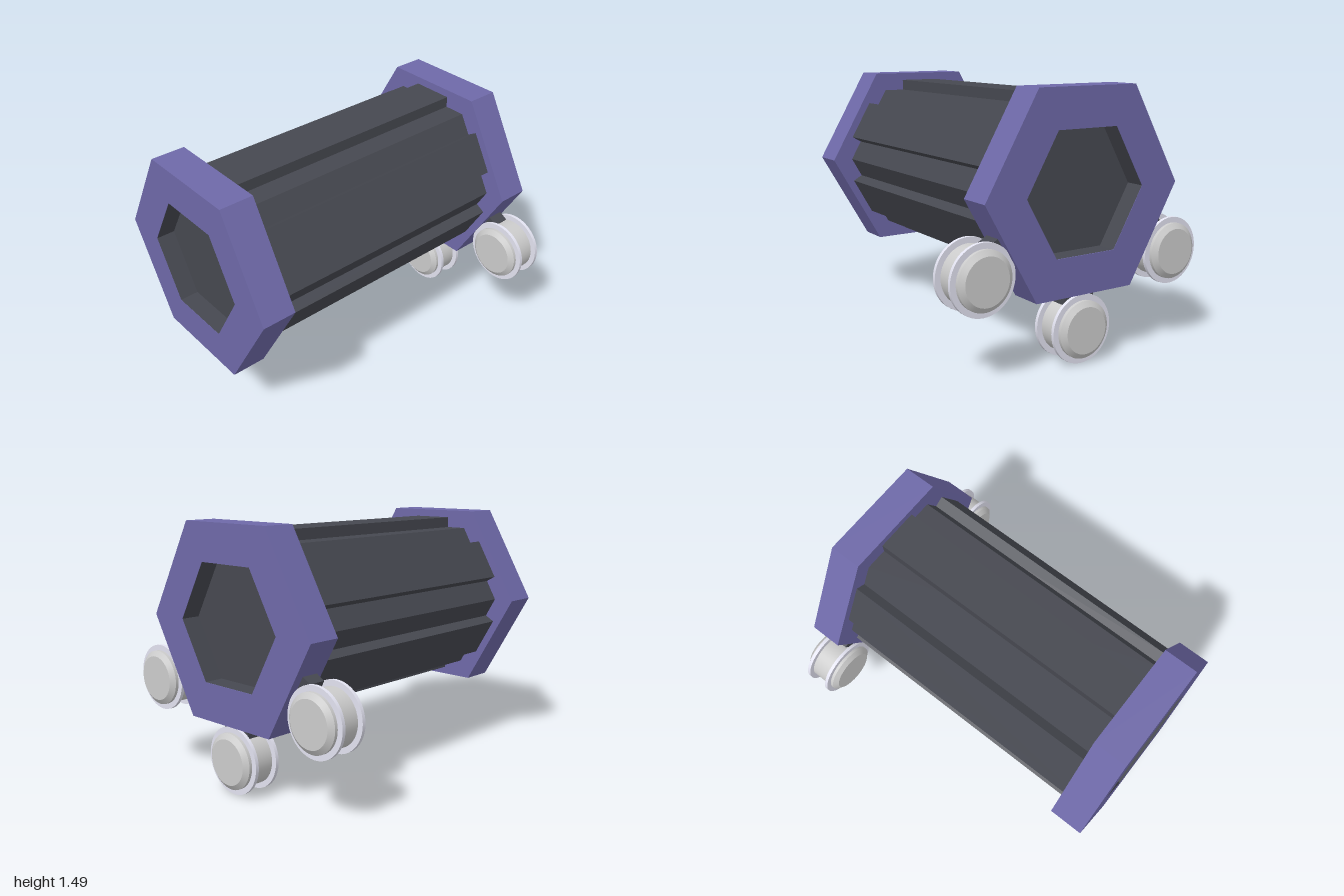
import * as THREE from 'three';

const CY = 0.94; // height of the barrel axis
const paint = (color, extra = {}) => new THREE.MeshStandardMaterial({ color, ...extra });

// Hexagon with corners on the x axis
function hexPoints(r) {
  return Array.from({ length: 6 }, (_, i) =>
    new THREE.Vector2(r * Math.cos(i * Math.PI / 3), r * Math.sin(i * Math.PI / 3)));
}

// Prism along z between z0 and z1
function prism(shape, z0, z1) {
  const geo = new THREE.ExtrudeGeometry(shape, { depth: z1 - z0, bevelEnabled: false });
  return geo.translate(0, 0, z0);
}

export function createModel() {
  const model = new THREE.Group();
  const dark = paint(0x464850);
  const darkInside = paint(0x464850, { side: THREE.BackSide });
  const purple = paint(0x6e69a8);
  const metal = paint(0xcccccc);
  const pale = paint(0xe2e2f0);

  const add = (parent, name, geo, mat) => {
    const mesh = new THREE.Mesh(geo, mat);
    mesh.name = name;
    parent.add(mesh);
    return mesh;
  };

  // Hexagonal barrel with one raised rib on each face
  const barrel = new THREE.Group();
  barrel.name = 'barrel';
  barrel.position.y = CY;
  model.add(barrel);
  add(barrel, 'barrelCore', prism(new THREE.Shape(hexPoints(0.509)), -0.79, 0.8), dark);
  for (let i = 0; i < 6; i++) {
    const rib = new THREE.BoxGeometry(0.25, 0.105, 1.59);
    rib.translate(0, 0.4525, 0.005).rotateZ(i * Math.PI / 3);
    add(barrel, 'barrelRib', rib, dark);
  }

  // Hexagonal end collars with a dark lined recess
  const ends = [
    { name: 'front', z0: 0.8, z1: 1.0, floor: 0.89, mouth: 1.0 },
    { name: 'back', z0: -0.98, z1: -0.79, floor: -0.87, mouth: -0.98 },
  ];
  for (const { name, z0, z1, floor, mouth } of ends) {
    const ring = new THREE.Shape(hexPoints(0.635));
    ring.holes.push(new THREE.Path(hexPoints(0.385)));
    add(barrel, name + 'Collar', prism(ring, z0, z1), purple);
    const plug = prism(new THREE.Shape(hexPoints(0.384)),
      Math.min(floor, mouth > 0 ? z0 : z1), Math.max(floor, mouth > 0 ? z0 : z1));
    add(barrel, name + 'RecessFloor', plug, dark);
    // A hexagonal tube seen only from within
    const liner = new THREE.CylinderGeometry(0.383, 0.383, Math.abs(mouth - floor), 6, 1, true)
      .rotateY(Math.PI / 6).rotateX(Math.PI / 2);
    const flat = liner.toNonIndexed();
    flat.rotateZ(hexAngle(flat));
    flat.computeVertexNormals();
    flat.translate(0, 0, (mouth + floor) / 2);
    add(barrel, name + 'RecessWall', flat, darkInside);
  }

  // Three rollers under the back collar, each on a short bracket
  const ZW = -0.88;
  const rollers = [
    { name: 'bottomRoller', x: 0, y: 0.193, turn: 0 },
    { name: 'leftRoller', x: 0.63, y: 0.56, turn: Math.PI / 3 },
    { name: 'rightRoller', x: -0.635, y: 0.54, turn: -Math.PI / 3 },
  ];
  // Separate profile runs keep the chamfer edges sharp
  const profileRuns = [
    [[0, -0.122], [0.13, -0.122]],
    [[0.13, -0.122], [0.16, -0.1]],
    [[0.16, -0.1], [0.16, 0.1]],
    [[0.16, 0.1], [0.13, 0.122]],
    [[0.13, 0.122], [0, 0.122]],
  ];
  for (const { name, x, y, turn } of rollers) {
    const roller = new THREE.Group();
    roller.name = name;
    roller.position.set(x, y, ZW);
    model.add(roller);
    for (const run of profileRuns) {
      const pts = run.map(([r, h]) => new THREE.Vector2(r, h));
      add(roller, 'wheelBody', new THREE.LatheGeometry(pts, 48).rotateX(Math.PI / 2), metal);
    }
    for (const z of [-0.072, 0.072]) {
      const flange = new THREE.CylinderGeometry(0.192, 0.192, 0.02, 48);
      add(roller, 'wheelFlange', flange.rotateX(Math.PI / 2).translate(0, 0, z), pale);
    }
    const bracket = new THREE.BoxGeometry(0.195, 0.13, 0.1);
    bracket.translate(0, -0.545, ZW).rotateZ(turn);
    add(barrel, 'rollerBracket', bracket, dark);
  }
  return model;
}

// Rotation that brings a corner of a hexagonal tube onto the x axis
function hexAngle(geo) {
  const p = geo.attributes.position;
  return -Math.atan2(p.getY(0), p.getX(0));
}
